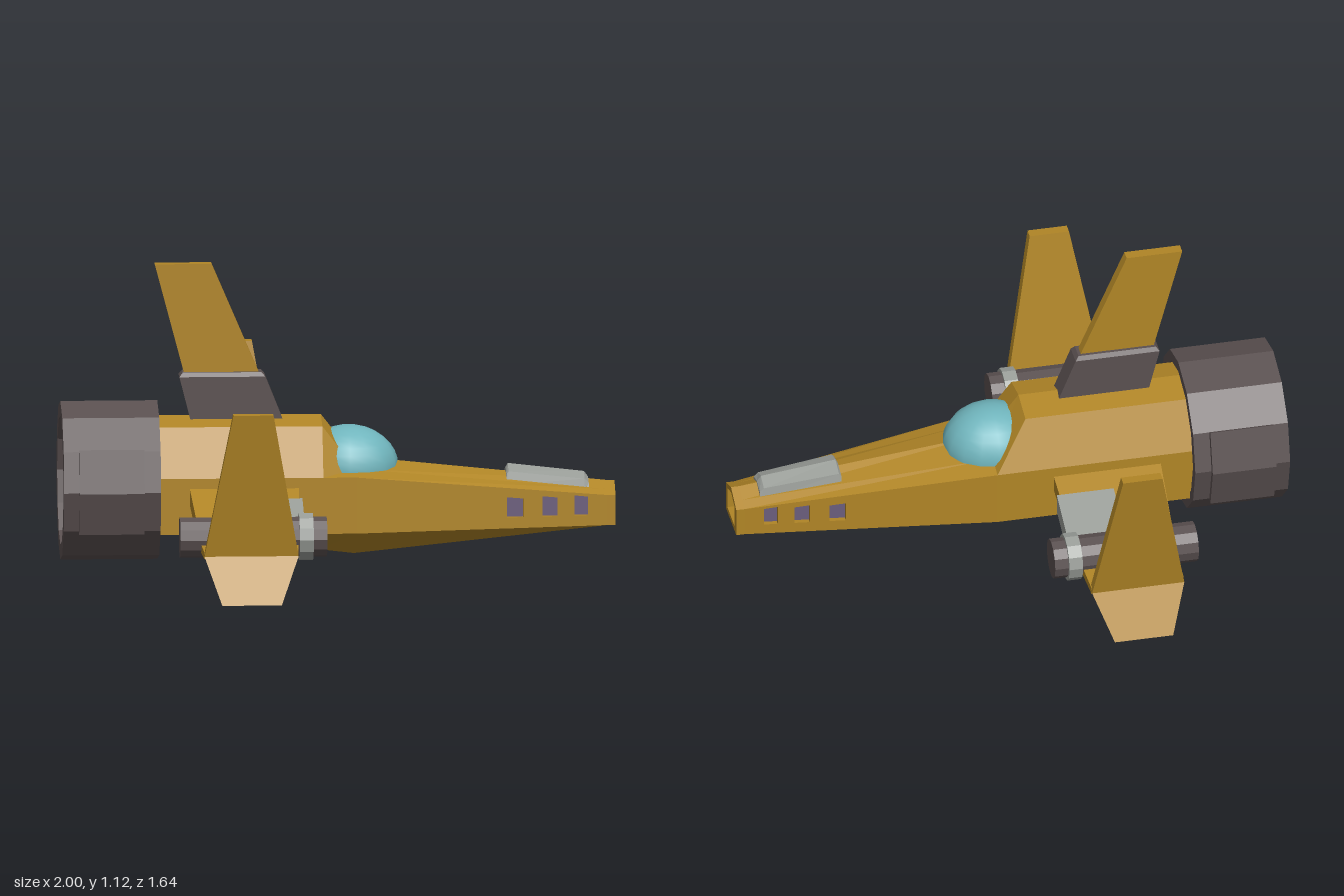
import * as THREE from 'three';

const mat = (name, color) => {
  const m = new THREE.MeshStandardMaterial({ color });
  m.name = name;
  return m;
};

// Faceted copy of a geometry
function flat(geo) {
  const g = geo.index ? geo.toNonIndexed() : geo;
  g.computeVertexNormals();
  return g;
}

// Faceted solid through matching convex rings of [x, y, z]; skip(i, j) leaves a side face open
function loft(rings, skip = () => false) {
  const tris = [], n = rings[0].length, last = rings[rings.length - 1];
  for (let i = 0; i < rings.length - 1; i++) {
    for (let j = 0; j < n; j++) {
      if (skip(i, j)) continue;
      const k = (j + 1) % n, a = rings[i], b = rings[i + 1];
      tris.push([a[j], a[k], b[k]], [a[j], b[k], b[j]]);
    }
  }
  for (let j = 1; j < n - 1; j++) {
    tris.push([rings[0][0], rings[0][j + 1], rings[0][j]], [last[0], last[j], last[j + 1]]);
  }
  // Turn all faces outward, whichever way the rings run
  const c = new THREE.Vector3(...rings[0][0]);
  let volume = 0;
  for (const t of tris) {
    const [p, q, r] = t.map(v => new THREE.Vector3(...v).sub(c));
    volume += p.dot(q.cross(r));
  }
  if (volume < 0) tris.forEach(t => t.reverse());
  const g = new THREE.BufferGeometry();
  g.setAttribute('position', new THREE.Float32BufferAttribute(tris.flat(2), 3));
  return flat(g);
}

// Rectangular rings: upright (constant y) and spanwise (constant z)
const levelRing = (y, x0, x1, z0, z1) => [[x0, y, z0], [x1, y, z0], [x1, y, z1], [x0, y, z1]];
const spanRing = (z, y0, y1, x0, x1) => [[x0, y0, z], [x1, y0, z], [x1, y1, z], [x0, y1, z]];
const toShape = pts => new THREE.Shape(pts.map(p => new THREE.Vector2(...p)));

export function createModel() {
  const gold = mat('gold paint', 0xb08526);
  const dark = mat('dark metal', 0x5a5050);
  const grey = mat('grey metal', 0x989c97);
  const glass = mat('canopy glass', 0x70b5bd);
  const violet = mat('violet glass', 0x6b5d7c);

  const model = new THREE.Group();
  model.name = 'spaceship';
  const add = (name, geo, material, parent = model) => {
    const mesh = new THREE.Mesh(geo, material);
    mesh.name = name;
    parent.add(mesh);
    return mesh;
  };

  // Fuselage: half sections run from keel to ridge as [z, y]
  const section = (x, half) => [
    ...half.map(([z, y]) => [x, y, z]),
    ...half.slice(1, -1).reverse().map(([z, y]) => [x, y, -z]),
  ];
  const upper = [[0.2, 0.155], [0.2, 0.36], [0.12, 0.535], [0, 0.56]];
  add('fuselage', loft([
    section(-0.75, [[0, 0.14], ...upper]),
    section(-0.06, [[0, 0.064], ...upper]),
    section(0.06, [[0, 0.05], [0.2, 0.155], [0.2, 0.36], [0.12, 0.378], [0, 0.405]]),
    section(0.97, [[0, 0.16], [0.09, 0.16], [0.09, 0.27], [0.054, 0.286], [0, 0.31]]),
  ], (i, j) => i === 2 && (j === 1 || j === 6)), gold);

  // Nose side walls with recessed windows
  const slope = 0.11 / 0.91, depth = 0.02;
  const halfWidth = x => 0.2 - slope * (x - 0.06);
  const windows = [[0.605, 0.665], [0.735, 0.79], [0.85, 0.9]];
  for (const s of [1, -1]) {
    const wall = toShape([[0.06, 0.155], [0.97, 0.16], [0.97, 0.27], [0.06, 0.36]]);
    for (const [a, b] of windows) {
      wall.holes.push(new THREE.Path([[a, 0.198], [a, 0.272], [b, 0.266], [b, 0.198]]
        .map(p => new THREE.Vector2(...p))));
    }
    const geo = new THREE.ExtrudeGeometry(wall, { depth, bevelEnabled: false });
    const pos = geo.attributes.position;
    for (let i = 0; i < pos.count; i++) {
      const w = halfWidth(pos.getX(i));
      pos.setZ(i, s > 0 ? w - depth + pos.getZ(i) : pos.getZ(i) - w);
    }
    add('noseWall', flat(geo), gold);
    for (const [a, b] of windows) {
      const x = (a + b) / 2;
      const pane = add('sideWindow', new THREE.BoxGeometry(b - a + 0.01, 0.085, 0.004), violet);
      pane.position.set(x, 0.235, s * (halfWidth(x) - depth));
      pane.rotation.y = s > 0 ? Math.atan(slope) : -Math.atan(slope);
    }
  }

  // Nose tip: frame around a recessed window
  const tip = toShape([[-0.09, 0.16], [0.09, 0.16], [0.09, 0.27], [0, 0.31], [-0.09, 0.27]]);
  const opening = [[-0.062, 0.18], [0.062, 0.18], [0.062, 0.264], [0, 0.288], [-0.062, 0.264]];
  tip.holes.push(toShape(opening));
  add('noseFrame', new THREE.ExtrudeGeometry(tip, { depth: 0.03, bevelEnabled: false })
    .rotateY(Math.PI / 2).translate(0.97, 0, 0), gold);
  add('noseWindow', new THREE.ShapeGeometry(toShape(opening))
    .rotateY(Math.PI / 2).translate(0.974, 0, 0), violet);

  // Ridged plate on top of the nose
  const plateRing = (x, w, rise) => {
    const ridge = 0.405 - 0.095 * (x - 0.06) / 0.91;
    return [[x, ridge - 0.04, w], [x, ridge - 0.012 + rise * 0.7, w * 0.85], [x, ridge + rise, 0],
      [x, ridge - 0.012 + rise * 0.7, -w * 0.85], [x, ridge - 0.04, -w]];
  };
  add('nosePlate', loft([plateRing(0.607, 0.075, 0.014), plateRing(0.615, 0.074, 0.028),
    plateRing(0.89, 0.061, 0.025), plateRing(0.905, 0.06, 0.006)]), grey);

  // Canopy
  add('canopy', new THREE.SphereGeometry(1, 16, 8, 0, Math.PI * 2, 0, Math.PI / 2)
    .scale(0.18, 0.15, 0.16).translate(0.04, 0.37, 0), glass);

  // Engine drum, hollow at both ends
  const drum = [[0, -0.94], [0.225, -0.94], [0.235, -1], [0.29, -1], [0.29, -0.65],
    [0.25, -0.65], [0.25, -0.69], [0, -0.69]].map(p => new THREE.Vector2(...p));
  add('engine', flat(new THREE.LatheGeometry(drum, 12).rotateZ(-Math.PI / 2)
    .translate(0, 0.325, 0)), dark);
  add('engineGlow', new THREE.CircleGeometry(0.224, 12).rotateY(-Math.PI / 2)
    .translate(-0.942, 0.325, 0), violet);

  // Dorsal fin and its base
  add('finBase', loft([levelRing(0.5, -0.52, -0.18, -0.042, 0.042),
    levelRing(0.705, -0.572, -0.262, -0.042, 0.042),
    levelRing(0.72, -0.56, -0.275, -0.032, 0.032)]), dark);
  add('dorsalFin', loft([levelRing(0.7, -0.55, -0.277, -0.02, 0.02),
    levelRing(1.115, -0.66, -0.455, -0.02, 0.02)]), gold);

  // Parts repeated on both sides
  for (const s of [1, -1]) {
    const side = new THREE.Group();
    side.name = s > 0 ? 'leftSide' : 'rightSide';
    model.add(side);

    // Engine side pad, following two facets of the drum
    const pad = x => [[0.25, 0.18], [0.27, 0.17], [0.311, 0.325], [0.27, 0.48], [0.25, 0.47]]
      .map(([z, y]) => [x, y, s * z]);
    add('enginePad', loft([pad(-0.945), pad(-0.71)]), dark, side);

    // Drooping wing with a level outer part
    add('wing', loft([
      spanRing(s * 0.15, 0.28, 0.34, -0.545, -0.145),
      spanRing(s * 0.5, 0.165, 0.22, -0.525, -0.162),
      spanRing(s * 0.6, 0.155, 0.185, -0.52, -0.17),
      spanRing(s * 0.715, 0.155, 0.18, -0.515, -0.175)]), gold, side);
    const sleeve = z => spanRing(s * z, 0.274 - 0.329 * (z - 0.15), 0.347 - 0.343 * (z - 0.15),
      -0.35, -0.14);
    add('wingSleeve', loft([sleeve(0.285), sleeve(0.49)]), grey, side);

    // Cannon pod and collar
    const tube = (r, x0, x1) => flat(new THREE.CylinderGeometry(r, r, x1 - x0, 12)
      .rotateZ(-Math.PI / 2).translate((x0 + x1) / 2, 0.203, s * 0.535));
    add('pod', tube(0.073, -0.595, -0.065), dark, side);
    add('podCollar', tube(0.086, -0.165, -0.115), grey, side);

    // Bent winglet
    add('winglet', loft([
      levelRing(0, -0.455, -0.24, s * 0.78, s * 0.815),
      levelRing(0.165, -0.515, -0.175, s * 0.692, s * 0.727),
      levelRing(0.695, -0.415, -0.27, s * 0.78, s * 0.818)]), gold, side);
  }
  return model;
}
